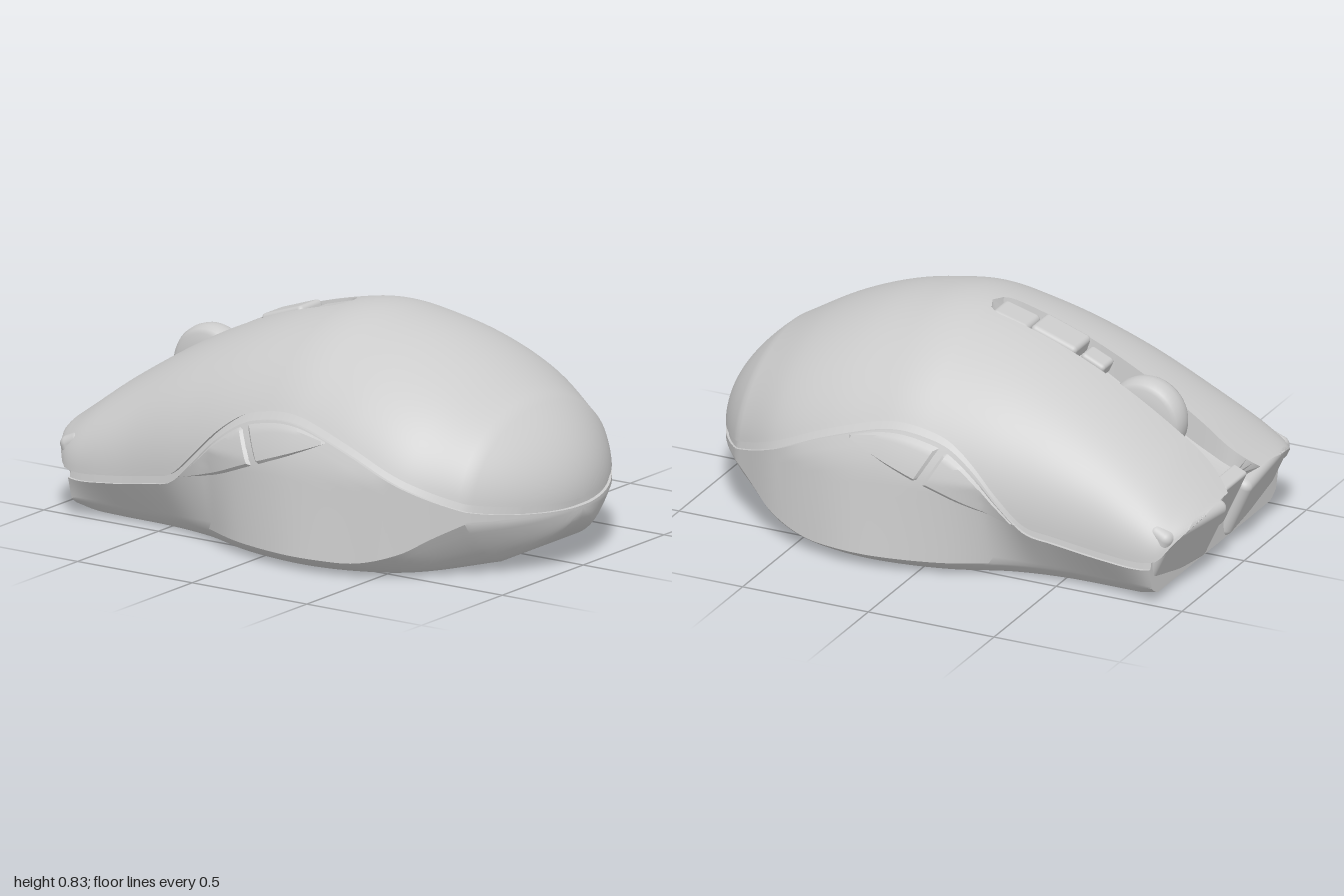
import * as THREE from 'three';
import { toCreasedNormals } from 'three/addons/utils/BufferGeometryUtils.js';
import { RoundedBoxGeometry } from 'three/addons/geometries/RoundedBoxGeometry.js';

const mat = new THREE.MeshStandardMaterial({ color: 0xcccccc, side: THREE.DoubleSide });

// Smooth interpolation through [z, value] pairs
function table(pts) {
  const slope = i => {
    const a = pts[Math.max(i - 1, 0)], b = pts[Math.min(i + 1, pts.length - 1)];
    return (b[1] - a[1]) / (b[0] - a[0]);
  };
  return z => {
    z = THREE.MathUtils.clamp(z, pts[0][0], pts[pts.length - 1][0]);
    let i = 0;
    while (i < pts.length - 2 && z > pts[i + 1][0]) i++;
    const [z0, a] = pts[i], [z1, b] = pts[i + 1], d = z1 - z0, t = (z - z0) / d;
    const t2 = t * t, t3 = t2 * t;
    return (2 * t3 - 3 * t2 + 1) * a + (t3 - 2 * t2 + t) * d * slope(i)
      + (3 * t2 - 2 * t3) * b + (t3 - t2) * d * slope(i + 1);
  };
}

// Curves along the length: the buttons lie at -z, the palm end at +z
const halfWidth = table([[-1, .36], [-.975, .43], [-.95, .47], [-.9, .515], [-.8, .535], [-.6, .545],
  [-.4, .568], [-.2, .595], [0, .625], [.15, .635], [.4, .625], [.6, .575], [.8, .45]]);
const topY = table([[-1, .315], [-.9, .395], [-.8, .47], [-.6, .595], [-.4, .695], [-.2, .77], [0, .82],
  [.1, .83], [.2, .82], [.4, .775], [.6, .695], [.8, .58]]);
const rootY = table([[-1, .26], [-.95, .2], [-.9, .16], [-.7, .16], [-.4, .22], [-.2, .25], [0, .25], [.8, .25]]);
const power = table([[-1, 2.6], [-.6, 2.4], [-.3, 2.15], [0, 2], [.8, 2]]);
const seamY = table([[-1, .295], [-.95, .235], [-.9, .175], [-.7, .182], [-.5, .215], [-.4, .24], [-.3, .33],
  [-.2, .43], [-.1, .5], [0, .53], [.1, .54], [.2, .525], [.4, .46], [.6, .37], [.8, .29], [1, .25]]);
const baseWidth = table([[-.88, .5], [-.7, .47], [-.5, .47], [-.3, .51], [-.1, .6], [.1, .65], [.25, .66],
  [.4, .635], [.6, .57], [.8, .45]]);
const edgeY = table([[-.88, .06], [-.6, .05], [.3, .05], [.45, .055], [.6, .1], [.7, .16], [.8, .215]]);
const bottomY = table([[-.88, .03], [-.8, .01], [-.6, 0], [.5, 0], [.65, .01], [.8, .03]]);
const tuck = table([[-.88, .9], [.3, .85], [.6, .75], [.8, .5]]);

// Cross-section values at z; q falls from 1 to 0 over the rounded tail
function section(z) {
  const q = z > .8 ? Math.sqrt(Math.max(0, (1 - z) / .2)) : 1;
  const root = rootY(z);
  return {
    z, q, root, W: halfWidth(z) * q, H: (topY(z) - root) * q, n: power(z), seam: seamY(z),
    base: baseWidth(z) * q, edge: edgeY(z), bottom: bottomY(z) + .18 * (1 - q), tuck: tuck(z),
  };
}
function domeX(s, y) {
  const f = s.H > 0 ? THREE.MathUtils.clamp((y - s.root) / s.H, 0, 1) : 0;
  return s.W * Math.pow(1 - Math.pow(f, s.n), 1 / s.n);
}
// Side wall: follows the dome, then runs straight to the flared base edge
function wallX(s, y) {
  const knee = Math.min(s.seam - .03, .36);
  if (y >= knee) return domeX(s, y);
  const t = Math.min(1, (knee - y) / Math.max(knee - s.edge, 1e-4));
  return THREE.MathUtils.lerp(domeX(s, knee), s.base, t);
}

function rowPositions(z0) {
  const rows = [];
  for (let i = 0; i < 90; i++) rows.push(z0 + (.8 - z0) * i / 90);
  for (let i = 0; i <= 20; i++) rows.push(1 - .2 * (1 - i / 20) ** 2);
  return rows;
}

// Skin over rows of points
function skin(rows, crease = .5) {
  const m = rows[0].length, index = [];
  for (let i = 0; i < rows.length - 1; i++) for (let j = 0; j < m - 1; j++) {
    const a = i * m + j, c = a + m;
    index.push(a, a + 1, c, a + 1, c + 1, c);
  }
  const g = new THREE.BufferGeometry();
  g.setAttribute('position', new THREE.Float32BufferAttribute(rows.flat(2), 3));
  g.setIndex(index);
  return toCreasedNormals(g, crease);
}
const mirrored = half => [...half, ...half.slice(0, -1).reverse().map(([x, y, z]) => [-x, y, z])];

// Half-width and depth of the wheel channel
const slotDepth = table([[-1, .04], [-.9, .07], [-.75, .1], [-.45, .09], [-.3, .05], [0, .04]]);
function slotWidth(z) {
  if (z > -.005) return .001;
  if (z > -.07) return .07 * Math.sqrt(1 - ((z + .07) / .07) ** 2);
  return z > -.86 ? .07 : .07 + .06 * ((-.86 - z) / .14) ** 2;
}

function topShell() {
  const rows = rowPositions(-1).map(z => {
    const s = section(z), half = [];
    const h = Math.min(slotWidth(z), s.W * .5), depth = z > -.005 ? 0 : slotDepth(z);
    const f = s.H > 0 ? THREE.MathUtils.clamp((s.seam - s.root) / s.H, 0, .98) : 0;
    const p0 = Math.asin(Math.pow(f, s.n / 2));
    const p1 = s.W > 0 ? Math.acos(Math.pow(h / s.W, s.n / 2)) : Math.PI / 2;
    const at = p => [s.W * Math.pow(Math.max(Math.cos(p), 0), 2 / s.n), s.root + s.H * Math.pow(Math.sin(p), 2 / s.n), z];
    const first = at(p0);
    half.push([first[0] * .94, first[1], z - .03 * (1 - s.q)]); // turned-in lip
    for (let k = 0; k <= 30; k++) half.push(at(p0 + (p1 - p0) * k / 30));
    const y = half[half.length - 1][1] - depth, zf = Math.max(z, -.93);
    half.push([h * .9, y, zf], [0, y - depth * .15, zf]);
    return mirrored(half);
  });
  // Underside of the front lip
  rows.unshift(rows[0].map(([x, y]) => [x * .95, Math.min(y, .24), -.9]));
  return skin(rows);
}

function lowerBody() {
  const rows = rowPositions(-.88).map(z => {
    const s = section(z), half = [], low = s.seam - .03;
    const zi = z - .02 * (1 - s.q);
    // Recessed band under the seam
    half.push([domeX(s, s.seam + .02) * .965, s.seam + .01, zi], [wallX(s, low) * .975, low, zi]);
    for (let k = 0; k <= 10; k++) {
      const y = THREE.MathUtils.lerp(low, Math.min(s.edge, low), k / 10);
      half.push([wallX(s, y) * .997, y, z]);
    }
    // Rounded tuck to the flat base
    for (let k = 1; k <= 8; k++) {
      const t = k / 8, a = (1 - t) ** 2, b = 2 * t * (1 - t), c = t * t;
      half.push([s.base * (a + b * (.45 + s.tuck * .53) + c * s.tuck),
        a * s.edge + b * (s.bottom + .1 * (s.edge - s.bottom)) + c * s.bottom, z]);
    }
    half.push([0, s.bottom, z]);
    return mirrored(half).reverse();
  });
  rows.unshift(rows[0].map(() => [0, .12, -.88]));
  return skin(rows);
}

// Thumb button: a slightly raised patch on the side wall
const thumbLow = table([[-.38, .232], [-.2, .265], [0, .34], [.15, .4], [.29, .465]]);
function thumbButton(z0, z1, skew0, skew1) {
  const rows = [], N = 20, M = 8;
  for (let i = 0; i <= N; i++) {
    const row = [];
    for (let j = 0; j <= M; j++) {
      const u = i / N, v = j / M, z = THREE.MathUtils.lerp(z0 + skew0 * v, z1 + skew1 * v, u);
      const s = section(z), lo = thumbLow(z), hi = Math.max(lo + .002, s.seam - .032);
      const y = THREE.MathUtils.lerp(lo, hi, v);
      const rim = i === 0 || i === N || j === 0 || j === M;
      row.push([wallX(s, y) + (rim ? -.008 : .008), y, z]);
    }
    rows.push(row);
  }
  return skin(rows, .6);
}

export function createModel() {
  const model = new THREE.Group();
  const add = (name, geo, x = 0, y = 0, z = 0, rx = 0, ry = 0) => {
    const mesh = new THREE.Mesh(geo, mat);
    mesh.name = name;
    mesh.position.set(x, y, z);
    mesh.rotation.set(rx, ry, 0);
    model.add(mesh);
    return mesh;
  };

  add('topShell', topShell());
  add('lowerBody', lowerBody());

  for (const side of [1, -1]) {
    const tag = side > 0 ? 'left' : 'right';
    add(tag + 'RearThumbButton', thumbButton(.005, .29, -.08, 0)).scale.x = side;
    add(tag + 'FrontThumbButton', thumbButton(-.37, -.008, 0, -.08)).scale.x = side;
    // Front face pads
    add(tag + 'FrontPad', new RoundedBoxGeometry(.42, .25, .1, 5, .03), side * .285, .165, -.875, -.428, -side * .1);
  }
  add('frontCentre', new RoundedBoxGeometry(.17, .3, .06, 3, .01), 0, .18, -.885, -.428);

  // Scroll wheel with a rounded tread
  const tread = [[.04, -.055], [.125, -.055], [.14, -.045], [.15, -.025], [.153, 0], [.15, .025], [.14, .045], [.125, .055], [.04, .055]];
  const wheel = add('scrollWheel', toCreasedNormals(
    new THREE.LatheGeometry(tread.map(p => new THREE.Vector2(...p)), 48), .6), 0, .485, -.615);
  wheel.rotation.z = Math.PI / 2;

  // Buttons in the channel behind the wheel
  add('wheelCradle', new RoundedBoxGeometry(.09, .06, .1, 3, .015), 0, .655, -.41, -.42);
  add('modeButton', new RoundedBoxGeometry(.135, .07, .19, 4, .018), 0, .72, -.265, -.33);
  add('rearModeButton', new RoundedBoxGeometry(.125, .05, .15, 4, .02), 0, .763, -.09, -.27);
  return model;
}
